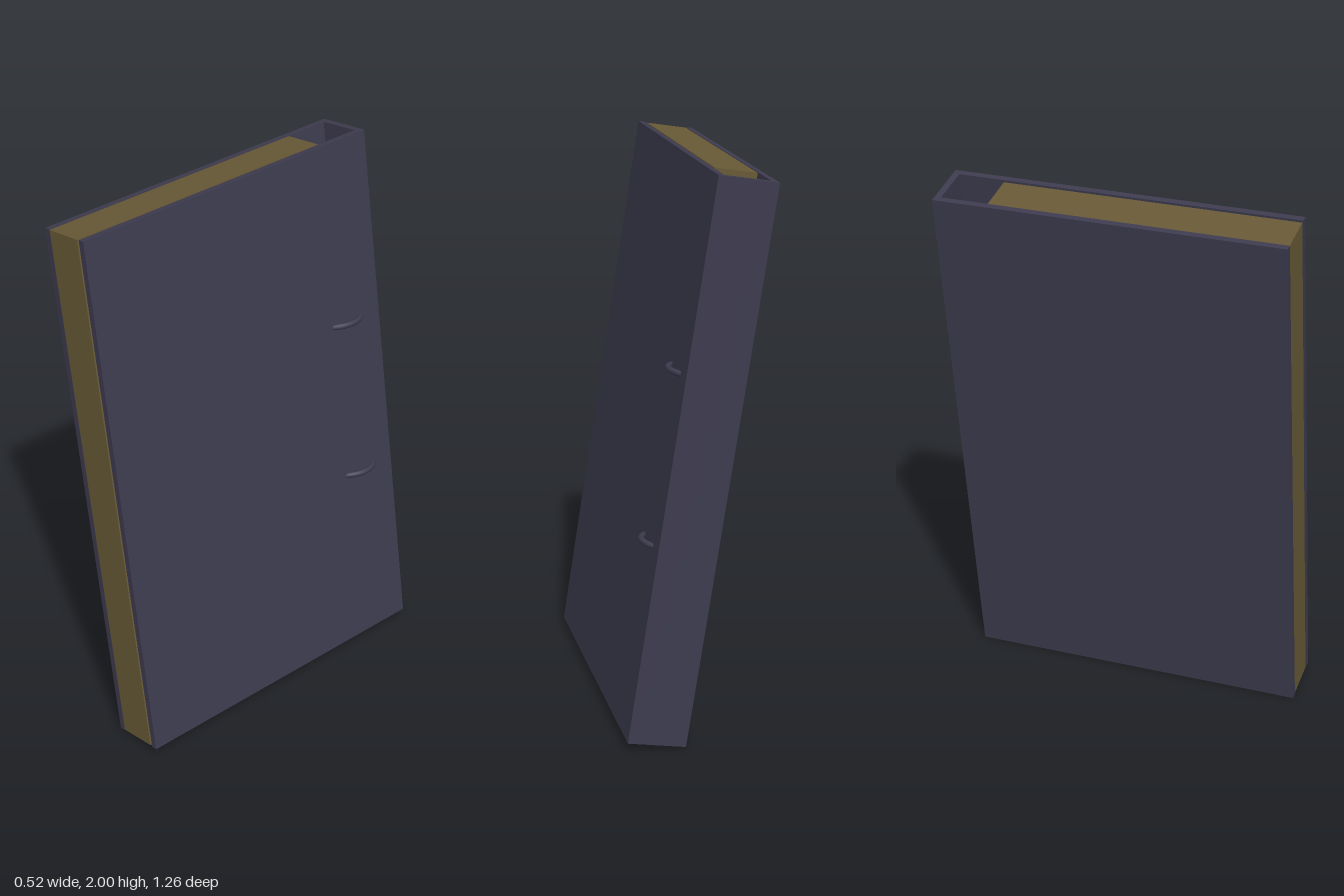
import * as THREE from 'three';

export function createModel() {
  const model = new THREE.Group();
  model.name = 'ringBinder';

  const mat = (name, color) => {
    const m = new THREE.MeshStandardMaterial({ color });
    m.name = name;
    return m;
  };
  const coverMat = mat('slate cover', 0x3d3b4e);
  const paperMat = mat('old paper', 0x685a37);
  const labelMat = mat('label', 0x6e6750);

  const H = 1.991, W = 0.209, D = 1.258, T = 0.024;
  const inner = W - 2 * T;

  // the whole binder leans sideways
  const binder = new THREE.Group();
  binder.name = 'binder';
  binder.position.y = 1;
  binder.rotation.z = Math.atan2(0.31, 1.97);
  model.add(binder);

  const add = (name, geometry, material, x, y, z) => {
    const mesh = new THREE.Mesh(geometry, material);
    mesh.name = name;
    mesh.position.set(x, y, z);
    binder.add(mesh);
    return mesh;
  };
  const box = (name, material, w, h, d, x, y, z) =>
    add(name, new THREE.BoxGeometry(w, h, d), material, x, y, z);

  // two covers joined by the spine
  box('leftCover', coverMat, T, H, D, (W - T) / 2, 0, 0);
  box('rightCover', coverMat, T, H, D, -(W - T) / 2, 0, 0);
  box('spine', coverMat, inner, H, T, 0, 0, -(D - T) / 2);

  // paper block, with a narrow gap beside the left cover
  const paperBack = -0.435;
  const paperDepth = D / 2 - paperBack - 0.001;
  box('paper', paperMat, inner - 0.01, H - 0.004, paperDepth,
    -0.005, 0, paperBack + paperDepth / 2);

  // ring mechanism housing and a thin plate inside the spine
  const spineInside = -D / 2 + T;
  box('ringHousing', coverMat, inner, 1.55, paperBack - spineInside,
    0, 0, (paperBack + spineInside) / 2);
  box('spineLabel', labelMat, 0.08, 1.62, 0.006, 0, 0, spineInside + 0.003);

  // rings whose outer arcs show through the left cover
  for (const y of [0.305, -0.305]) {
    const ring = add('ring', new THREE.TorusGeometry(0.092, 0.011, 8, 40),
      coverMat, 0.037, y, -0.474);
    ring.rotation.x = Math.PI / 2;
  }

  return model;
}
